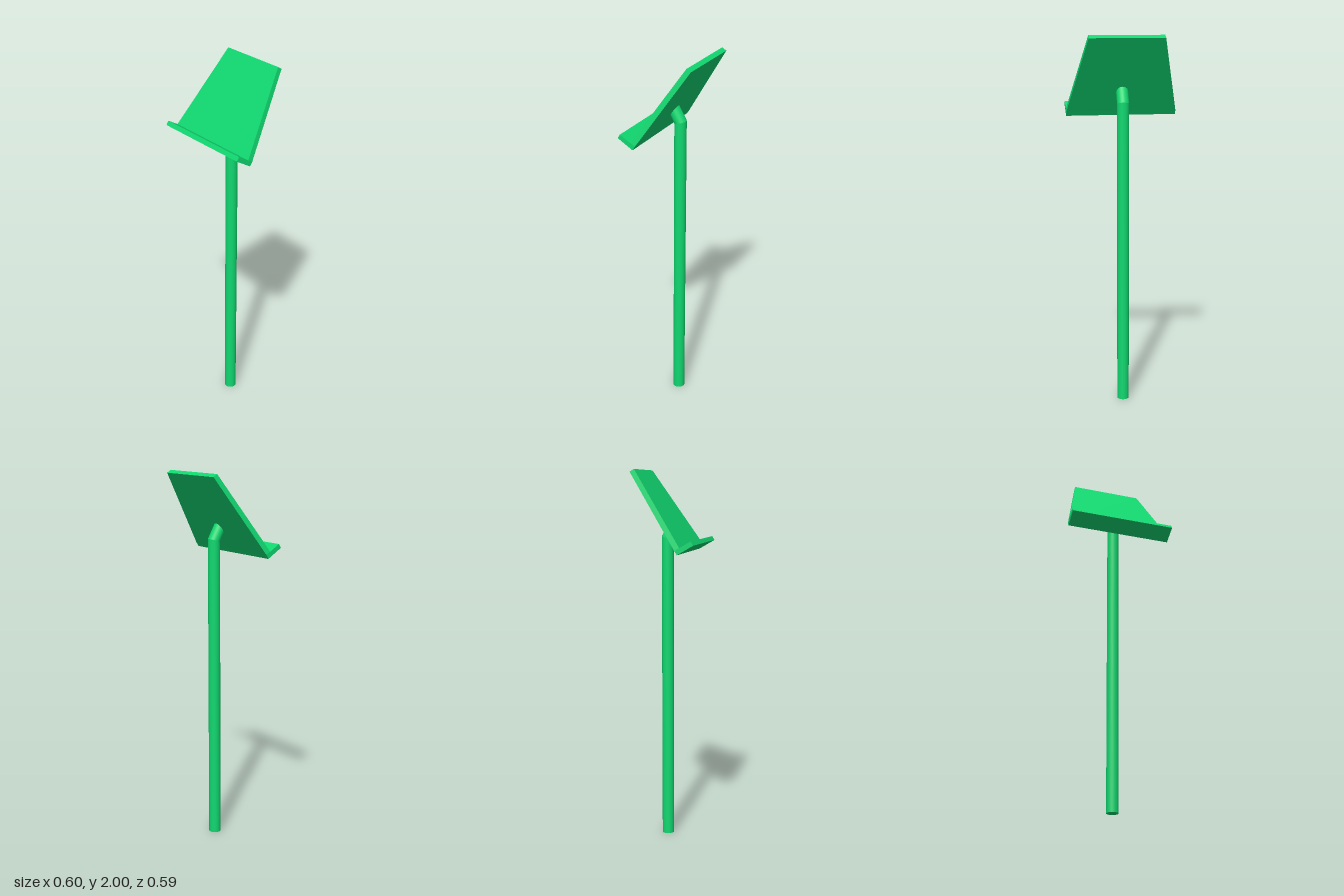
import * as THREE from 'three';

const material = new THREE.MeshStandardMaterial({ color: 0x10d870 });

// Moves every vertex of a geometry by a rule
function reshape(geometry, rule) {
  const p = geometry.attributes.position;
  const v = new THREE.Vector3();
  for (let i = 0; i < p.count; i++) {
    v.fromBufferAttribute(p, i);
    rule(v);
    p.setXYZ(i, v.x, v.y, v.z);
  }
  return geometry;
}

function addMesh(parent, name, geometry) {
  const mesh = new THREE.Mesh(geometry, material);
  mesh.name = name;
  parent.add(mesh);
}

// Plate from a side profile of [z, y] points; span(y) gives its [left, right] x limits
function plate(profile, span) {
  const shape = new THREE.Shape(profile.map(([z, y]) => new THREE.Vector2(z, y)));
  const geometry = new THREE.ExtrudeGeometry(shape, { depth: 1, bevelEnabled: false });
  reshape(geometry, (v) => {
    const [low, high] = span(v.y);
    v.set(v.z > 0.5 ? low : high, v.y, v.x);
  });
  geometry.computeVertexNormals();
  return geometry;
}

export function createModel() {
  const stand = new THREE.Group();
  stand.name = 'stand';
  stand.rotation.y = THREE.MathUtils.degToRad(-45.85);

  // Tapered sloping board and the lip running under its lower edge
  const wide = [-0.299, 0.288];
  const narrow = [-0.195, 0.195];
  const seamBack = [0.029, 1.592];
  const seamFront = [0.055, 1.606];
  addMesh(stand, 'board', plate(
    [seamBack, seamFront, [-0.205, 2], [-0.228, 1.986]],
    (y) => (y > 1.8 ? narrow : wide)));
  addMesh(stand, 'lip', plate(
    [[0.043, 1.57], [0.127, 1.619], [0.114, 1.64], seamFront, seamBack],
    () => wide));

  // Round post with a mitred top
  const radius = 0.032, postZ = -0.0735, bendY = 1.643;
  const bend = Math.PI / 6;
  const mitre = (z) => bendY - Math.tan(bend / 2) * z;
  const post = new THREE.CylinderGeometry(radius, radius, 1, 32);
  reshape(post, (v) => { v.y = v.y > 0 ? mitre(v.z) : 0; });
  post.translate(0, 0, postZ);
  addMesh(stand, 'post', post);

  // Bent neck, cut off at the middle of the board's thickness
  const dir = new THREE.Vector3(0, Math.cos(bend), Math.sin(bend));
  const boardPlane = new THREE.Plane().setFromNormalAndCoplanarPoint(
    new THREE.Vector3(0, 0.549, 0.836), new THREE.Vector3(0, 1.599, 0.042));
  const neck = new THREE.CylinderGeometry(radius, radius, 1, 32, 1, true);
  reshape(neck, (v) => {
    const top = v.y > 0;
    v.y = mitre(v.z);
    v.z += postZ;
    if (top) v.addScaledVector(dir, -boardPlane.distanceToPoint(v) / boardPlane.normal.dot(dir));
  });
  // Tilt the radial normals with the bend
  const n = neck.attributes.normal;
  const normal = new THREE.Vector3();
  for (let i = 0; i < n.count; i++) {
    normal.fromBufferAttribute(n, i).applyAxisAngle(new THREE.Vector3(1, 0, 0), bend);
    n.setXYZ(i, normal.x, normal.y, normal.z);
  }
  addMesh(stand, 'neck', neck);

  const model = new THREE.Group();
  model.name = 'readingStand';
  model.add(stand);
  return model;
}
